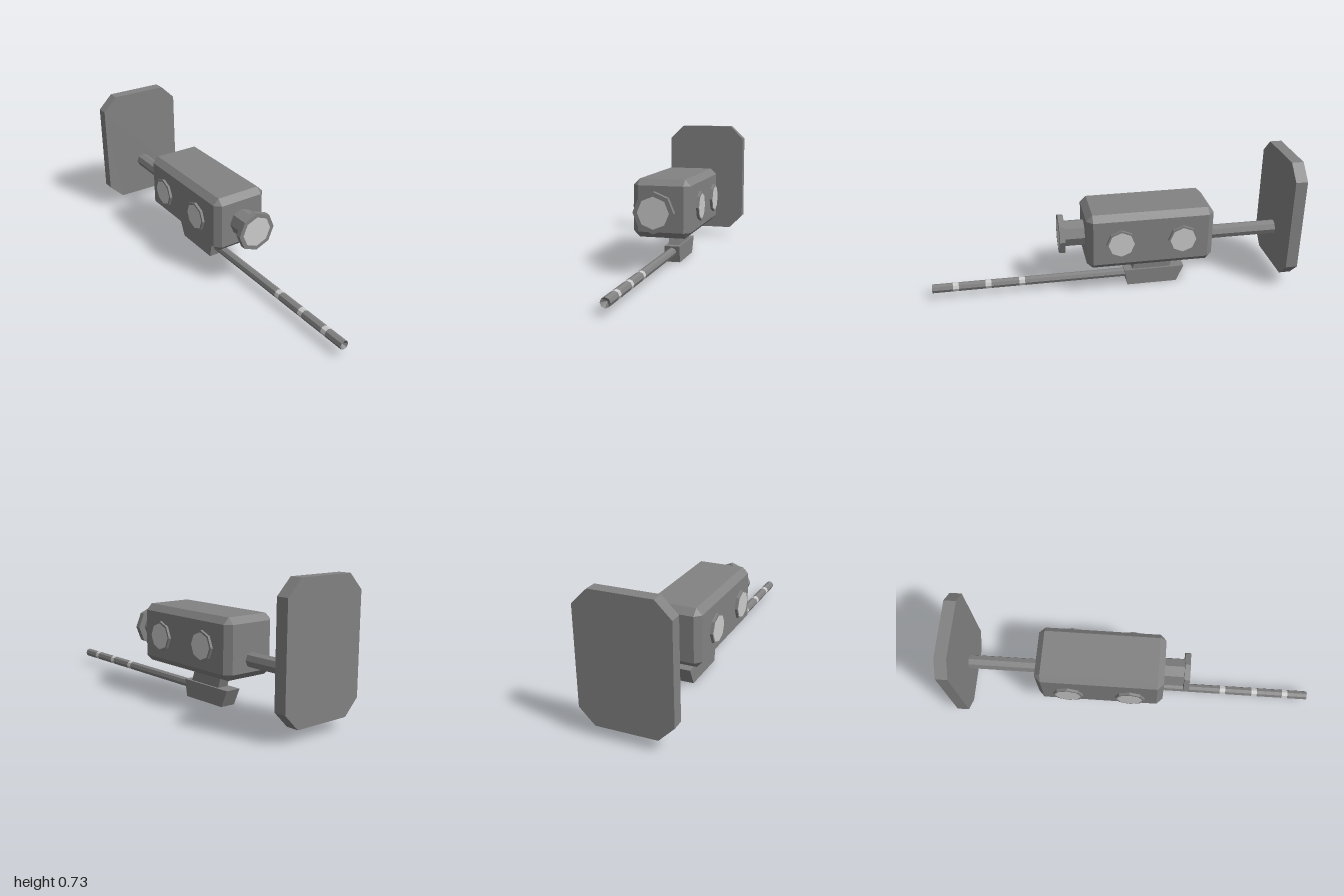
import * as THREE from 'three';
import { ConvexGeometry } from 'three/addons/geometries/ConvexGeometry.js';

const dark = new THREE.MeshStandardMaterial({ color: 0x828282, flatShading: true });
const light = new THREE.MeshStandardMaterial({ color: 0xcccccc, flatShading: true });

export function createModel() {
  const model = new THREE.Group();

  const add = (name, geometry, material = dark, parent = model) => {
    const mesh = new THREE.Mesh(geometry, material);
    mesh.name = name;
    parent.add(mesh);
    return mesh;
  };

  // Octagonal rod along z between z0 and z1
  const rod = (name, r, y, z0, z1, material = dark, open = false) =>
    add(name, new THREE.CylinderGeometry(r, r, z1 - z0, 8, 1, open).rotateX(Math.PI / 2), material)
      .position.set(0, y, (z0 + z1) / 2);

  // Side profile of [z, y] points, extruded across x
  const block = (name, points, width) => {
    const shape = new THREE.Shape(points.map(([z, y]) => new THREE.Vector2(-z, y)));
    const geometry = new THREE.ExtrudeGeometry(shape, { depth: width, bevelEnabled: false });
    return add(name, geometry.translate(0, 0, -width / 2).rotateY(Math.PI / 2));
  };

  // Body: box with every edge chamfered
  const hx = 0.158, hy = 0.158, hz = 0.348, c = 0.033;
  const corners = [];
  for (const sx of [-1, 1]) for (const sy of [-1, 1]) for (const sz of [-1, 1]) {
    corners.push(
      new THREE.Vector3(sx * hx, sy * (hy - c), sz * (hz - c)),
      new THREE.Vector3(sx * (hx - c), sy * hy, sz * (hz - c)),
      new THREE.Vector3(sx * (hx - c), sy * (hy - c), sz * hz));
  }
  add('body', new ConvexGeometry(corners)).position.set(0, 0.337, -0.187);

  // Front eyepiece
  rod('eyepieceNeck', 0.073, 0.338, 0.15, 0.275);
  rod('eyepieceFlange', 0.11, 0.338, 0.27, 0.3);
  add('eyepieceLens', new THREE.CircleGeometry(0.086, 8), light).position.set(0, 0.338, 0.301);

  // Side dials, standing just clear of the body
  for (const side of [-1, 1]) for (const z of [-0.02, -0.357]) {
    const dial = new THREE.Group();
    dial.name = (side > 0 ? 'left' : 'right') + 'Dial';
    dial.position.set(side * 0.176, 0.338, z);
    dial.rotation.y = side * Math.PI / 2;
    add('dialRim', new THREE.CylinderGeometry(0.081, 0.081, 0.014, 8).rotateX(Math.PI / 2), dark, dial);
    add('dialLens', new THREE.CircleGeometry(0.071, 8), light, dial).position.z = 0.008;
    model.add(dial);
  }

  // Rear rod and cut-corner plate
  rod('rearRod', 0.04, 0.275, -0.94, -0.52);
  const plate = new THREE.Shape([
    [-0.16, 0.06], [0.16, 0.06], [0.242, 0.141], [0.242, 0.652],
    [0.16, 0.733], [-0.16, 0.733], [-0.242, 0.652], [-0.242, 0.141],
  ].map(([x, y]) => new THREE.Vector2(x, y)));
  add('rearPlate', new THREE.ExtrudeGeometry(plate, { depth: 0.065, bevelEnabled: false })).position.z = -1;

  // Slanted post and mount under the body
  block('mountPost', [[-0.109, 0.09], [-0.323, 0.09], [-0.352, 0.185], [-0.144, 0.185]], 0.064);
  block('mountBlock', [[-0.082, 0], [-0.363, 0], [-0.405, 0.093], [-0.064, 0.093]], 0.088);

  // Long barrel with flush light bands
  const by = 0.06, br = 0.025, half = 0.016;
  let start = -0.1;
  for (const z of [0.51, 0.695, 0.872]) {
    rod('barrel', br, by, start, z - half, dark, true);
    rod('barrelBand', br, by, z - half, z + half, light, true);
    start = z + half;
  }
  rod('barrel', br, by, start, 1, dark, true);

  // Hollow conical muzzle
  const muzzle = dark.clone();
  muzzle.side = THREE.DoubleSide;
  add('muzzle', new THREE.ConeGeometry(br, 0.03, 8, 1, true).rotateX(-Math.PI / 2), muzzle)
    .position.set(0, by, 0.985);

  return model;
}
